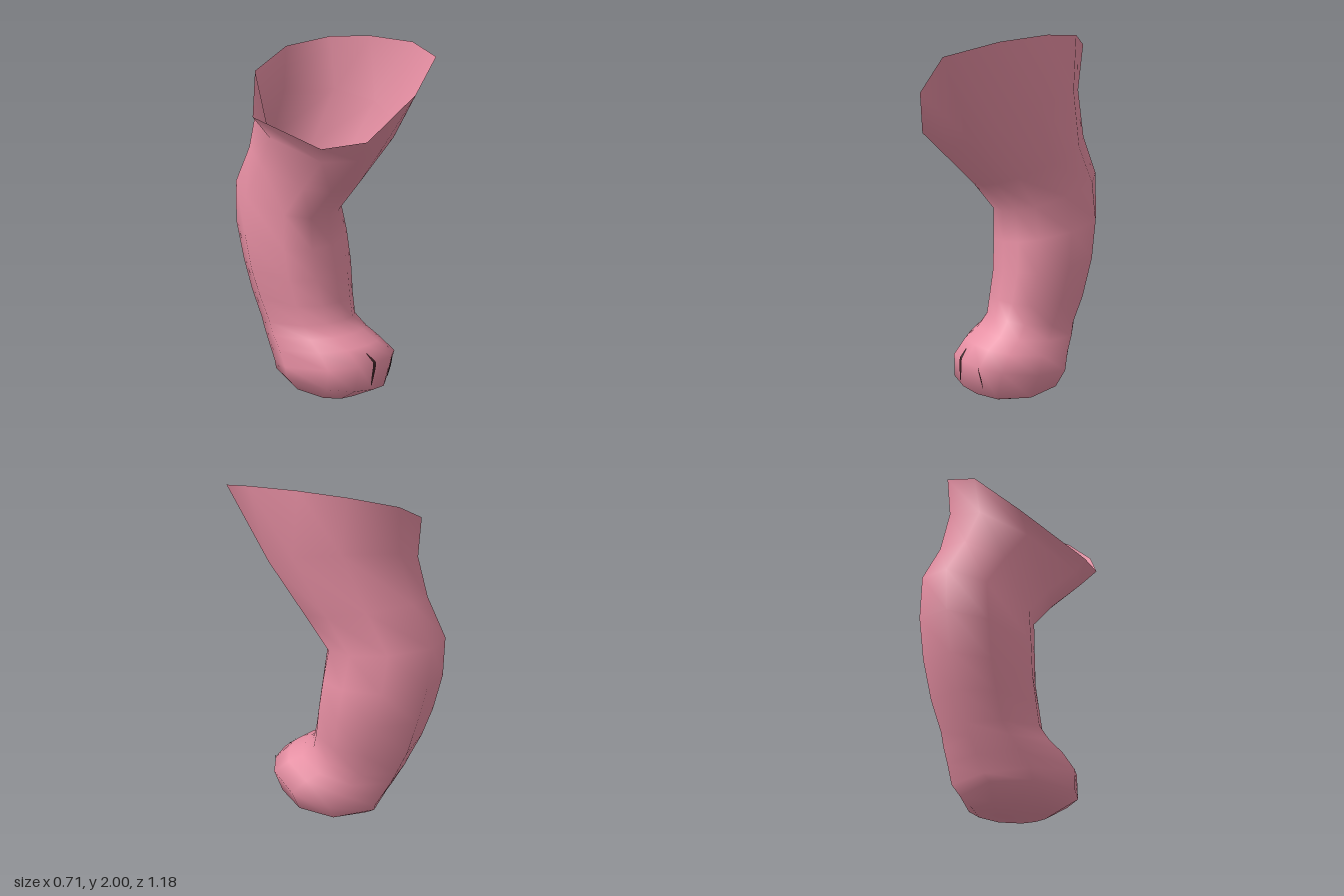
import * as THREE from 'three';

// Unit outline of a section: [x, z], from the front round by the left; slightly skewed, fuller in front
const OUTLINE = [
  [0.07, 1], [0.46, 0.92], [0.8, 0.69], [1, 0.13], [0.79, -0.52],
  [0.1, -1], [-0.7, -0.86], [-1, -0.25], [-0.83, 0.64], [-0.4, 0.95],
];
const SIDES = OUTLINE.length;

// Open rim at the thigh: [x, y, z], one per outline corner
const RIM = [
  [0.065, 1.72, 0.59], [0.245, 1.9, 0.557], [0.345, 1.97, 0.3], [0.32, 2.0, 0.0], [0.24, 1.995, -0.24],
  [0.065, 1.94, -0.42], [-0.19, 1.81, -0.38], [-0.355, 1.58, -0.19], [-0.29, 1.45, 0.285], [-0.15, 1.49, 0.47],
];

// Tilted sections from thigh to sole: [xRight, xLeft, zFront, yFront, zBack, yBack, sideways tilt]
const SECTIONS = [
  [-0.305, 0.32, 0.39, 1.42, -0.41, 1.68, 0.11],
  [-0.275, 0.23, 0.19, 1.2, -0.48, 1.42, 0.03],
  [-0.29, 0.2, 0.05, 1.04, -0.59, 1.2, 0.02],
  [-0.305, 0.25, 0.055, 0.87, -0.585, 0.97, 0.03],
  [-0.285, 0.265, 0.07, 0.7, -0.545, 0.75, 0.03],
  [-0.26, 0.245, 0.1, 0.55, -0.49, 0.54, 0],
  [-0.235, 0.23, 0.125, 0.45, -0.425, 0.38, 0],
  [-0.24, 0.265, 0.19, 0.385, -0.4, 0.31, 0],
  [-0.245, 0.3, 0.28, 0.335, -0.365, 0.23, 0],
  [-0.25, 0.352, 0.36, 0.26, -0.325, 0.14, 0],
  [-0.25, 0.285, 0.347, 0.105, -0.295, 0.08, -0.035],
  [-0.16, 0.18, 0.2, 0.022, -0.23, 0.018, -0.008],
];

function sectionRing([x0, x1, zF, yF, zB, yB, tilt]) {
  return OUTLINE.map(([s, c]) => [
    (x0 + x1) / 2 + ((x1 - x0) / 2) * s,
    (yF + yB) / 2 + ((yF - yB) / 2) * c + tilt * s,
    (zF + zB) / 2 + ((zF - zB) / 2) * c,
  ]);
}

const rings = [RIM, ...SECTIONS.map(sectionRing)];

// Point on the skin at ring position v and side position u
function skinPoint(v, u) {
  const i = Math.min(Math.floor(v), rings.length - 2), j = Math.floor(u);
  const at = (r, k) => new THREE.Vector3(...rings[r][(k + SIDES) % SIDES]);
  const upper = at(i, j).lerp(at(i, j + 1), u - j);
  const lower = at(i + 1, j).lerp(at(i + 1, j + 1), u - j);
  return upper.lerp(lower, v - i);
}

function makeGeometry(positions, index) {
  const g = new THREE.BufferGeometry();
  g.setAttribute('position', new THREE.Float32BufferAttribute(positions, 3));
  g.setIndex(index);
  g.computeVertexNormals();
  return g;
}

// Hollow skin, open at the top and closed under the foot
function legGeometry() {
  const positions = rings.flat(2);
  const index = [];
  for (let r = 0; r < rings.length - 1; r++) {
    for (let i = 0; i < SIDES; i++) {
      const n = (i + 1) % SIDES;
      const a = r * SIDES + i, b = r * SIDES + n;
      index.push(a, a + SIDES, b + SIDES, a, b + SIDES, b);
    }
  }
  const last = (rings.length - 1) * SIDES, centre = rings.length * SIDES;
  positions.push(0, 0, -0.1);
  for (let i = 0; i < SIDES; i++) index.push(last + i, centre, last + ((i + 1) % SIDES));
  return makeGeometry(positions, index);
}

// Thin strip lying just above the skin, tapering at both ends
function creaseGeometry(u0, u1, v0, v1, width) {
  const positions = [], index = [], steps = 8;
  for (let k = 0; k <= steps; k++) {
    const t = k / steps;
    const p = skinPoint(v0 + (v1 - v0) * t, u0 + (u1 - u0) * t);
    const w = width * (0.3 + 0.7 * Math.sin(Math.PI * t)) / 2;
    positions.push(p.x - w, p.y + 0.003, p.z + 0.006, p.x + w, p.y + 0.003, p.z + 0.006);
    if (k < steps) {
      const a = k * 2;
      index.push(a, a + 2, a + 3, a, a + 3, a + 1);
    }
  }
  return makeGeometry(positions, index);
}

export function createModel() {
  const skin = new THREE.MeshStandardMaterial({ color: 0xe58ea2, side: THREE.DoubleSide });
  skin.name = 'pink skin';
  const dark = new THREE.MeshStandardMaterial({ color: 0x3a2024, side: THREE.DoubleSide });
  dark.name = 'dark crease';

  const model = new THREE.Group();
  model.name = 'leg';
  const add = (name, geometry, material) => {
    const mesh = new THREE.Mesh(geometry, material);
    mesh.name = name;
    model.add(mesh);
  };
  add('legAndFoot', legGeometry(), skin);
  add('middleToeCrease', creaseGeometry(-0.33, -0.22, 9.4, 10.85, 0.022), dark);
  add('outerToeCrease', creaseGeometry(0.95, 1.3, 10, 10.75, 0.014), dark);
  return model;
}
